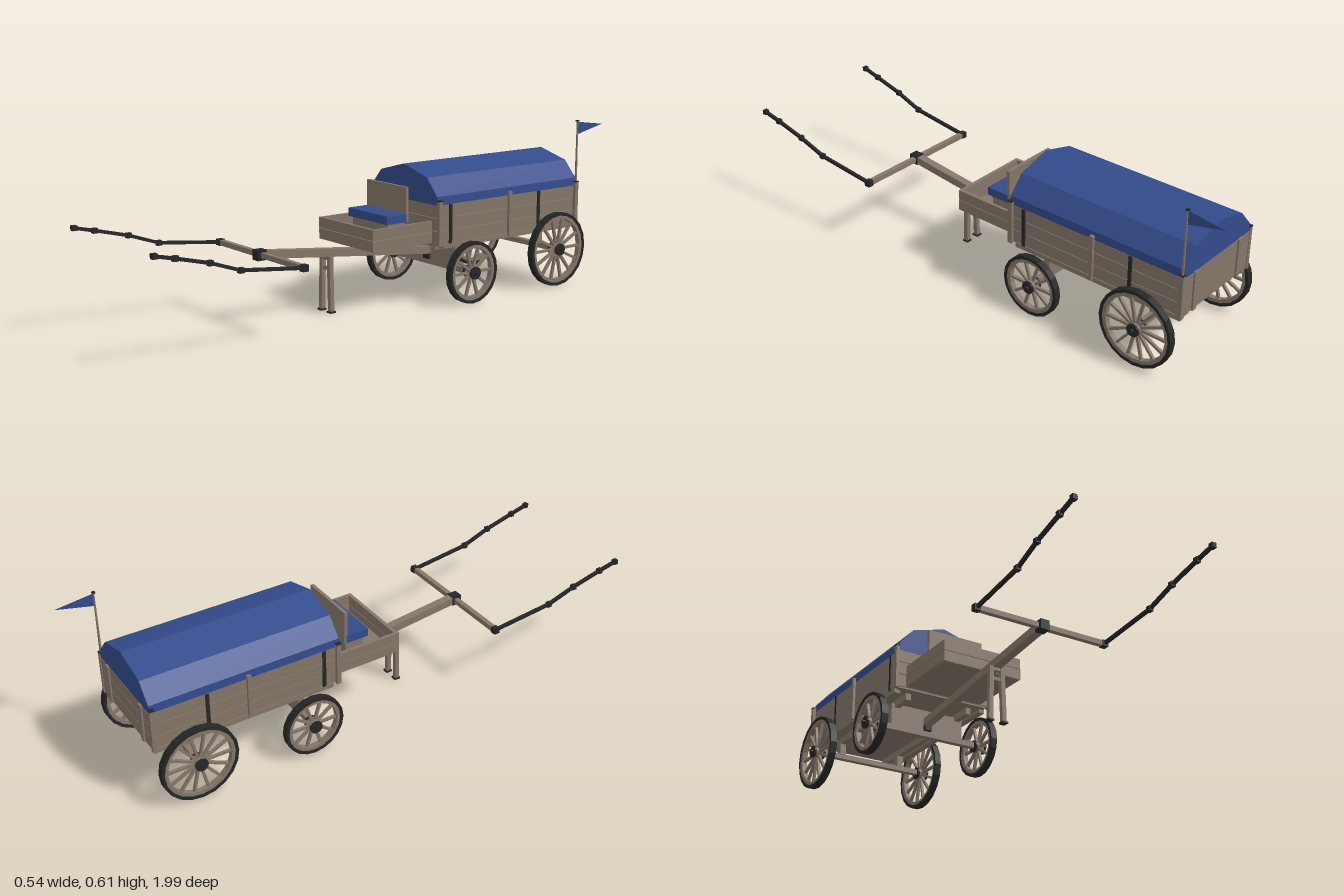
import * as THREE from 'three';

const mat = (name, color, extra = {}) =>
  Object.assign(new THREE.MeshStandardMaterial({ color, flatShading: true, ...extra }), { name });

export function createModel() {
  const wood = mat('weathered wood', 0x85776a);
  const iron = mat('black iron', 0x262626);
  const cloth = mat('blue cloth', 0x344b8c);
  const flagCloth = mat('flag cloth', 0x344b8c, { side: THREE.DoubleSide });
  const root = new THREE.Group();
  root.name = 'coveredWagon';

  const add = (name, geo, m, parent = root) => {
    const mesh = new THREE.Mesh(geo, m);
    mesh.name = name;
    parent.add(mesh);
    return mesh;
  };
  // Box given by its minimum and maximum corners
  const box = (name, m, x0, x1, y0, y1, z0, z1, parent) => {
    const b = add(name, new THREE.BoxGeometry(x1 - x0, y1 - y0, z1 - z0), m, parent);
    b.position.set((x0 + x1) / 2, (y0 + y1) / 2, (z0 + z1) / 2);
    return b;
  };
  // The same box on both sides
  const pair = (name, m, x0, x1, ...rest) => {
    box(name + 'Left', m, x0, x1, ...rest);
    box(name + 'Right', m, -x1, -x0, ...rest);
  };
  // Square beam between two points
  const beam = (name, m, a, b, w, h = w) => {
    const p = new THREE.Vector3(...a), q = new THREE.Vector3(...b);
    const mesh = add(name, new THREE.BoxGeometry(w, h, p.distanceTo(q)), m);
    mesh.position.copy(p).lerp(q, 0.5);
    mesh.lookAt(q);
    return mesh;
  };

  // Bed: floor, sills, planked walls
  box('bedFloor', wood, -0.18, 0.18, 0.215, 0.228, -0.855, -0.17);
  pair('sill', wood, 0.165, 0.187, 0.203, 0.22, -0.855, -0.19);
  pair('underRail', wood, 0.115, 0.135, 0.19, 0.216, -0.84, -0.2);
  for (let i = 0; i < 3; i++) {
    const y0 = 0.221 + i * 0.047, y1 = y0 + 0.045;
    pair('sidePlank', wood, 0.172, 0.185, y0, y1, -0.855, -0.17);
    box('tailPlank', wood, -0.185, 0.185, y0, y1, -0.86, -0.848);
    box('frontPlank', wood, -0.185, 0.185, y0, y1, -0.178, -0.166);
  }
  // Dark core behind the plank joints
  pair('plankBacking', wood, 0.168, 0.176, 0.22, 0.355, -0.85, -0.172);
  // Posts with iron caps, and side straps
  for (const z of [-0.172, -0.855]) {
    pair('cornerPost', wood, 0.184, 0.197, 0.215, 0.374, z - 0.008, z + 0.008);
    pair('postCap', iron, 0.183, 0.198, 0.374, 0.378, z - 0.009, z + 0.009);
  }
  pair('middlePost', wood, 0.184, 0.195, 0.21, 0.376, -0.517, -0.503);
  for (const z of [-0.225, -0.66]) pair('sideStrap', iron, 0.184, 0.19, 0.22, 0.36, z - 0.006, z + 0.006);
  for (const x of [-0.125, 0.125]) {
    box('tailBatten', wood, x - 0.01, x + 0.01, 0.22, 0.362, -0.866, -0.858);
  }

  // Canvas cover
  const arch = new THREE.Shape([
    [-0.184, 0.36], [0.184, 0.36], [0.183, 0.39], [0.128, 0.452],
    [0, 0.487], [-0.128, 0.452], [-0.183, 0.39],
  ].map(p => new THREE.Vector2(...p)));
  add('canvasCover', new THREE.ExtrudeGeometry(arch, { depth: 0.694, bevelEnabled: false }), cloth)
    .position.z = -0.859;

  // Driver's box
  box('driverFloor', wood, -0.15, 0.15, 0.222, 0.232, -0.166, 0.095);
  for (const [y0, y1] of [[0.223, 0.261], [0.263, 0.301]]) {
    pair('driverSide', wood, 0.143, 0.155, y0, y1, -0.166, 0.096);
    box('driverFront', wood, -0.155, 0.155, y0, y1, 0.084, 0.097);
  }
  // Driver's bench
  box('seatBase', wood, -0.1, 0.1, 0.23, 0.3, -0.085, -0.012);
  box('seatCushion', cloth, -0.11, 0.11, 0.3, 0.33, -0.088, 0);
  box('seatBack', wood, -0.11, 0.11, 0.3, 0.424, -0.096, -0.084);

  // Wheels
  const wheel = (side, z, r, spokes, label) => {
    const g = new THREE.Group();
    g.name = label + 'Wheel';
    g.position.set(side * 0.2255, r, z);
    g.rotation.z = -side * Math.PI / 2;
    root.add(g);
    const ring = (name, r0, r1, w, m) => add(name, new THREE.LatheGeometry(
      [[r0, -w], [r1, -w], [r1, w], [r0, w], [r0, -w]].map(p => new THREE.Vector2(...p)), 20), m, g);
    ring('ironTyre', r - 0.011, r, 0.0125, iron);
    ring('woodRim', r - 0.024, r - 0.011, 0.0095, wood);
    for (let i = 0; i < spokes; i++) {
      const a = (i / spokes) * Math.PI * 2, mid = (r - 0.02) / 2;
      const s = add('spoke', new THREE.BoxGeometry(0.009, 0.01, r - 0.02), wood, g);
      s.position.set(Math.sin(a) * mid, 0, Math.cos(a) * mid);
      s.rotation.y = a;
    }
    const disc = (name, rad, h, y, m) =>
      add(name, new THREE.CylinderGeometry(rad, rad, h, 12), m, g).position.y = y;
    disc('hub', 0.021, 0.034, 0, wood);
    disc('hubBandOuter', 0.023, 0.008, 0.019, iron);
    disc('hubBandInner', 0.023, 0.008, -0.019, iron);
    disc('axleTip', 0.007, 0.012, 0.026, iron);
  };
  for (const s of [1, -1]) {
    wheel(s, -0.294, 0.112, 10, 'front');
    wheel(s, -0.722, 0.139, 14, 'rear');
  }

  // Axles and bolsters
  box('frontAxle', wood, -0.21, 0.21, 0.104, 0.125, -0.305, -0.283);
  box('rearAxle', wood, -0.21, 0.21, 0.131, 0.15, -0.733, -0.711);
  box('frontBolster', wood, -0.147, 0.147, 0.124, 0.204, -0.305, -0.283);
  pair('rearBolster', wood, 0.113, 0.137, 0.148, 0.195, -0.735, -0.709);
  box('tongueBracket', iron, -0.014, 0.014, 0.125, 0.16, -0.284, -0.27);

  // Tongue, prop legs and yoke
  beam('tongue', wood, [0, 0.157, -0.29], [0, 0.241, 0.455], 0.03, 0.028);
  box('tongueCap', iron, -0.017, 0.017, 0.222, 0.257, 0.436, 0.472);
  for (const s of [1, -1]) {
    beam('propLeg', wood, [s * 0.027, 0.004, 0.18], [s * 0.021, 0.2, 0.18], 0.016);
    box('propFoot', iron, s * 0.027 - 0.011, s * 0.027 + 0.011, 0, 0.006, 0.168, 0.192);
  }
  box('propTop', wood, -0.03, 0.03, 0.185, 0.198, 0.173, 0.187);
  box('propBrace', wood, -0.022, 0.022, 0.15, 0.162, 0.175, 0.185);
  box('yokeBar', wood, -0.245, 0.245, 0.231, 0.249, 0.442, 0.46);

  // Jointed harness rods
  const rod = [[0.25, 0.24, 0.451], [0.254, 0.268, 0.69], [0.257, 0.307, 0.8], [0.259, 0.338, 0.92], [0.261, 0.355, 0.991]];
  for (const s of [1, -1]) {
    const pts = rod.map(([x, y, z]) => [s * x, y, z]);
    pts.forEach(([x, y, z], i) => {
      const h = i === 0 ? 0.011 : 0.0085;
      box('rodJoint', iron, x - h, x + h, y - h, y + h, z - h, z + h);
      if (i) beam('harnessRod', iron, pts[i - 1], pts[i], 0.011);
    });
  }

  // Flag on the rear corner post
  add('flagPole', new THREE.CylinderGeometry(0.003, 0.0045, 0.232, 8), wood).position.set(0.19, 0.49, -0.855);
  box('flagPoleCap', iron, 0.185, 0.195, 0.604, 0.609, -0.86, -0.85);
  const pennant = new THREE.Shape([[0, 0.603], [0, 0.556], [0.134, 0.586]].map(p => new THREE.Vector2(...p)));
  const flag = add('flag', new THREE.ShapeGeometry(pennant), flagCloth);
  flag.position.set(0.19, 0, -0.857);
  flag.rotation.y = Math.PI / 2;

  return root;
}
